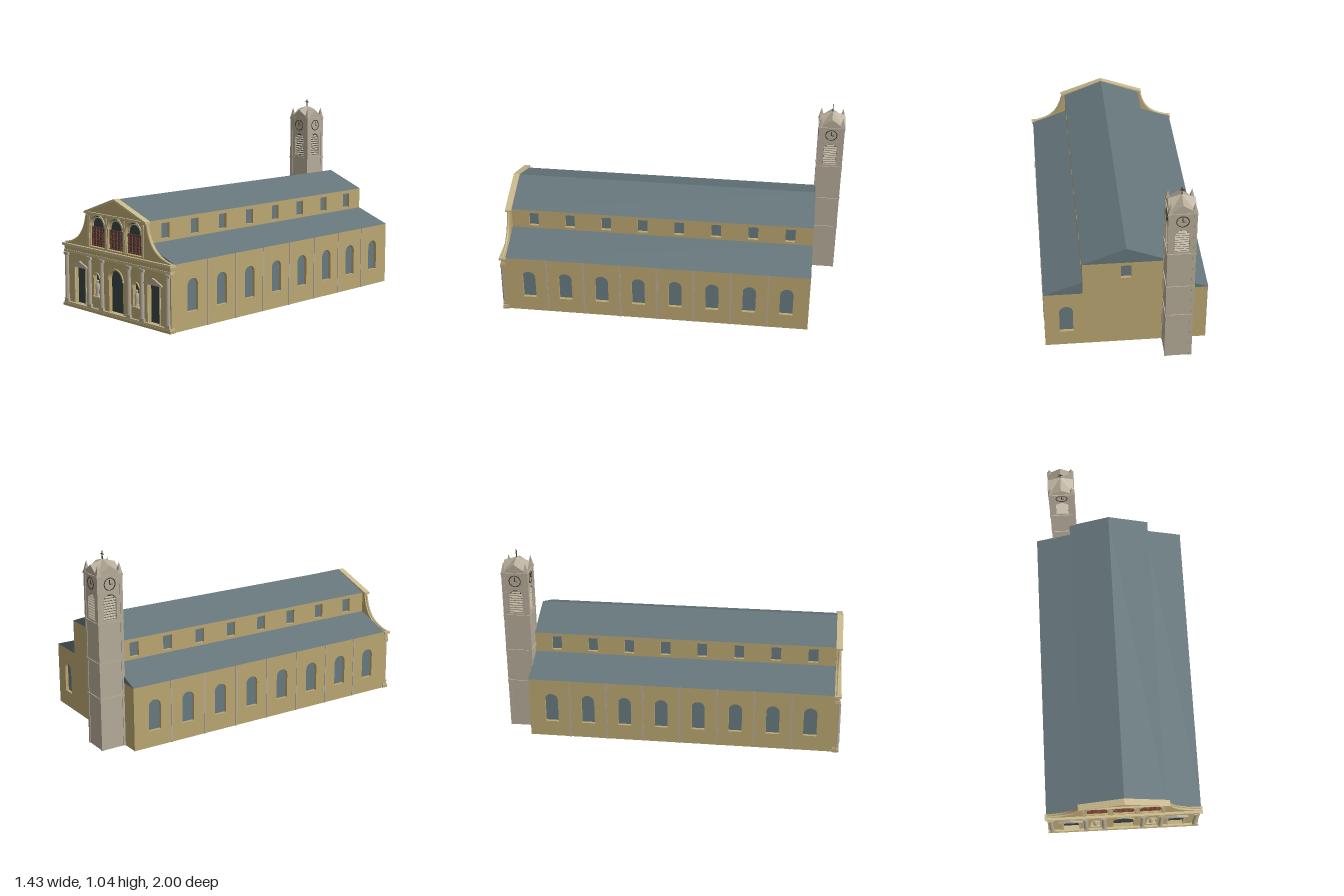
import * as THREE from 'three';

const mat = (name, color, side = THREE.FrontSide) => {
  const m = new THREE.MeshStandardMaterial({ color, side });
  m.name = name;
  return m;
};
const WALL = mat('ochre wall', 0xbba772);
const TRIM = mat('pale trim', 0xc8b88c);
const STONE = mat('grey stone', 0xb5ab98, THREE.DoubleSide);
const ROOF = mat('slate roof', 0x64757a);
const GLASS = mat('window glass', 0x687a80);
const DARK = mat('dark opening', 0x364444);
const RED = mat('red lattice', 0x7a4436);
const IRON = mat('dark iron', 0x3c3a36);

const HW = 0.429, HL = 0.836, NAVE = 0.226, EAVE = 0.345, NAVE_EAVE = 0.535, RIDGE = 0.625;

function add(parent, name, geo, material, x = 0, y = 0, z = 0) {
  const m = new THREE.Mesh(geo, material);
  m.name = name;
  m.position.set(x, y, z);
  parent.add(m);
  return m;
}
const box = (p, name, w, h, d, material, x, y, z) =>
  add(p, name, new THREE.BoxGeometry(w, h, d), material, x, y, z);

function sub(parent, name, x = 0, y = 0, z = 0, ry = 0) {
  const g = new THREE.Group();
  g.name = name;
  g.position.set(x, y, z);
  g.rotation.y = ry;
  parent.add(g);
  return g;
}
const poly = pts => new THREE.Shape(pts.map(p => new THREE.Vector2(...p)));
const rect = (x0, y0, x1, y1) => poly([[x0, y0], [x1, y0], [x1, y1], [x0, y1]]);

// Opening outline with a round head
function arch(cx, w, y0, y1) {
  const r = w / 2, s = new THREE.Shape();
  s.moveTo(cx - r, y0);
  s.lineTo(cx + r, y0);
  s.lineTo(cx + r, y1 - r);
  s.absarc(cx, y1 - r, r, 0, Math.PI, false);
  s.closePath();
  return s;
}
const extrude = (shape, depth) =>
  new THREE.ExtrudeGeometry(shape, { depth, bevelEnabled: false, curveSegments: 10 });

// Wall with its outer face on z = 0, holes cut through and panes set behind
function wall(parent, name, outline, openings, depth, material, pane) {
  outline.holes.push(...openings);
  add(parent, name, extrude(outline, depth), material, 0, 0, -depth);
  openings.forEach(o =>
    add(parent, name + 'Pane', new THREE.ShapeGeometry(o, 10), pane, 0, 0, -depth + 0.001));
}

function archRing(parent, cx, cy, r0, r1, z) {
  const s = new THREE.Shape();
  s.absarc(cx, cy, r1, 0, Math.PI, false);
  s.absarc(cx, cy, r0, Math.PI, 0, true);
  add(parent, 'archMoulding', extrude(s, 0.006), TRIM, 0, 0, z);
}

function buildBody(root) {
  const body = sub(root, 'body');
  const bays = Array.from({ length: 8 }, (_, i) => (i - 3.5) * 0.2036);
  box(body, 'floor', 2 * HW, 0.006, 2 * HL, WALL, 0, 0.003, 0);
  for (const s of [-1, 1]) {
    // Aisle wall with arched windows and thin pilaster strips
    const aisle = sub(body, 'aisle', s * HW, 0, 0, s * Math.PI / 2);
    wall(aisle, 'aisleWall', rect(-HL, 0, HL, EAVE),
      bays.map(x => arch(x, 0.072, 0.09, 0.26)), 0.018, WALL, GLASS);
    for (let i = 0; i < 7; i++)
      box(aisle, 'pilasterStrip', 0.009, EAVE, 0.004, STONE, (i - 3) * 0.2036, EAVE / 2, 0.001);
    // Clerestory wall
    const upper = sub(body, 'clerestory', s * NAVE, 0, 0, s * Math.PI / 2);
    wall(upper, 'clerestoryWall', rect(-HL, EAVE, HL, NAVE_EAVE),
      bays.map(x => rect(x - 0.027, 0.435, x + 0.027, 0.515)), 0.018, WALL, GLASS);
    // Lean-to roof
    const lean = [[s * (HW + 0.002), EAVE], [s * NAVE, 0.42], [s * NAVE, EAVE]];
    add(body, 'aisleRoof', extrude(poly(lean), 2 * HL), ROOF, 0, 0, -HL);
  }
  add(body, 'naveRoof', extrude(
    poly([[-NAVE - 0.003, NAVE_EAVE], [NAVE + 0.003, NAVE_EAVE], [0, RIDGE]]), 2 * HL),
    ROOF, 0, 0, -HL);
  // Rear wall
  const back = sub(body, 'rear', 0, 0, -HL, Math.PI);
  wall(back, 'rearWall', poly([[-HW, 0], [HW, 0], [HW, EAVE], [NAVE, EAVE], [NAVE, NAVE_EAVE],
    [-NAVE, NAVE_EAVE], [-NAVE, EAVE], [-HW, EAVE]]),
    [arch(-0.315, 0.072, 0.09, 0.26), rect(-0.027, 0.435, 0.027, 0.515)], 0.018, WALL, GLASS);
}

function buildColumn(f, x) {
  const c = sub(f, 'column', x, 0, 0.004);
  box(c, 'columnBase', 0.034, 0.016, 0.018, STONE, 0, 0.033, 0);
  add(c, 'columnShaft', new THREE.CylinderGeometry(0.011, 0.013, 0.24, 12), STONE, 0, 0.161, 0);
  box(c, 'columnCapital', 0.034, 0.016, 0.018, STONE, 0, 0.288, 0);
}

function buildStatue(f, x) {
  const s = sub(f, 'statue', x, 0.092, -0.006);
  const p = [[0.012, 0], [0.012, 0.012], [0.009, 0.014], [0.011, 0.04], [0.012, 0.062], [0.004, 0.072]];
  add(s, 'statueBody', new THREE.LatheGeometry(p.map(a => new THREE.Vector2(...a)), 10), STONE);
  add(s, 'statueHead', new THREE.SphereGeometry(0.008, 10, 8), STONE, 0, 0.079, 0);
}

// Round-headed upper window with lattice in its lower half
function buildLattice(f, x) {
  const g = sub(f, 'latticeWindow', x, 0, -0.012);
  for (let i = 0; i < 5; i++)
    box(g, 'latticeUpright', 0.006, 0.102, 0.006, RED, (i - 2) * 0.027, 0.409, 0);
  for (let j = 0; j < 3; j++)
    box(g, 'latticeRail', 0.116, 0.006, 0.006, RED, 0, 0.361 + j * 0.048, 0);
  for (let i = 0; i < 4; i++) for (let j = 0; j < 2; j++)
    add(g, 'latticeRosette', new THREE.TorusGeometry(0.009, 0.0022, 4, 10), RED,
      (i - 1.5) * 0.027, 0.385 + j * 0.048, 0);
  archRing(g, 0, 0.466, 0.045, 0.05, 0);
  archRing(f, x, 0.466, 0.059, 0.067, -0.001);
}

function buildFacade(root) {
  const f = sub(root, 'facade', 0, 0, 0.858);
  const o = new THREE.Shape();
  o.moveTo(-HW, 0);
  o.lineTo(HW, 0);
  o.lineTo(HW, EAVE);
  o.bezierCurveTo(0.30, 0.365, 0.262, 0.43, 0.241, 0.53);
  o.lineTo(0, RIDGE - 0.003);
  o.lineTo(-0.241, 0.53);
  o.bezierCurveTo(-0.262, 0.43, -0.30, 0.365, -HW, EAVE);
  o.closePath();
  const doors = [-0.299, 0.299].map(x => rect(x - 0.044, 0.025, x + 0.044, 0.225));
  const uppers = [-0.147, 0, 0.147];
  wall(f, 'facadeWall', o, [...doors, arch(0, 0.114, 0.025, 0.255),
    arch(-0.16, 0.05, 0.09, 0.215), arch(0.16, 0.05, 0.09, 0.215),
    ...uppers.map(x => arch(x, 0.118, 0.354, 0.525))], 0.022, WALL, DARK);
  // Plinth and main cornice
  box(f, 'plinth', 0.872, 0.014, 0.036, WALL, 0, 0.007, -0.004);
  box(f, 'plinthStep', 0.866, 0.012, 0.032, TRIM, 0, 0.019, -0.004);
  box(f, 'architrave', 0.862, 0.014, 0.028, TRIM, 0, 0.304, -0.006);
  box(f, 'frieze', 0.858, 0.022, 0.024, WALL, 0, 0.322, -0.008);
  box(f, 'cornice', 0.878, 0.013, 0.038, TRIM, 0, 0.339, -0.005);
  for (const x of [0.41, 0.214, 0.11]) for (const s of [-1, 1]) buildColumn(f, s * x);
  uppers.forEach(x => buildLattice(f, x));
  archRing(f, 0, 0.198, 0.057, 0.065, -0.001);
  for (const s of [-1, 1]) {
    const x = s * 0.299;
    // Side door frame and pediment
    for (const e of [-1, 1])
      box(f, 'doorJamb', 0.008, 0.2, 0.006, TRIM, x + e * 0.048, 0.125, 0.001);
    add(f, 'doorPediment', extrude(poly([[-0.068, 0.226], [0.068, 0.226], [0.068, 0.233],
      [0, 0.262], [-0.068, 0.233]]), 0.012), STONE, x, 0, -0.001);
    archRing(f, s * 0.16, 0.19, 0.025, 0.03, -0.001);
    box(f, 'nicheSill', 0.058, 0.007, 0.012, TRIM, s * 0.16, 0.087, 0.002);
    buildStatue(f, s * 0.16);
    // Upper pilasters, scroll edge and raking cornice
    for (const px of [0.0735, 0.22])
      box(f, 'upperPilaster', 0.016, 0.17, 0.006, TRIM, s * px, 0.435, 0.001);
    const curve = new THREE.CubicBezierCurve3(new THREE.Vector3(s * HW, 0.347, -0.006),
      new THREE.Vector3(s * 0.30, 0.367, -0.006), new THREE.Vector3(s * 0.262, 0.43, -0.006),
      new THREE.Vector3(s * 0.241, 0.53, -0.006));
    add(f, 'scrollEdge', new THREE.TubeGeometry(curve, 16, 0.007, 6), TRIM);
    add(f, 'rakingCornice', extrude(poly([[s * 0.25, 0.528], [s * 0.25, 0.538], [0, 0.628],
      [0, 0.615]]), 0.034), TRIM, 0, 0, -0.024);
  }
  box(f, 'upperCornice', 0.5, 0.009, 0.03, TRIM, 0, 0.534, -0.006);
}

function buildTower(root) {
  const t = sub(root, 'bellTower', -0.262, 0, -0.903);
  const h = 0.069, base = 0.68, top = 0.93, gable = 0.978;
  box(t, 'towerShaft', 2 * h, base, 2 * h, STONE, 0, base / 2, 0);
  box(t, 'belfryCore', 0.106, 0.235, 0.106, DARK, 0, 0.797, 0);
  for (const y of [0.28, 0.47, 0.68, 0.925])
    for (let k = 0; k < 4; k++) {
      const g = sub(t, 'stringCourse', 0, 0, 0, k * Math.PI / 2);
      box(g, 'band', 0.148, 0.01, 0.008, STONE, 0, y, h + 0.001);
    }
  for (let k = 0; k < 4; k++) {
    const g = sub(t, 'towerSide', 0, 0, 0, k * Math.PI / 2);
    const face = sub(g, 'belfryFace', 0, 0, h);
    wall(face, 'belfryWall', poly([[-h, base], [h, base], [h, top], [0, gable], [-h, top]]),
      [arch(0, 0.072, 0.695, 0.83)], 0.015, STONE, DARK);
    for (let i = 0; i < 9; i++) {
      const slat = box(face, 'louvre', i > 7 ? 0.046 : 0.07, 0.005, 0.012, STONE,
        0, 0.703 + i * 0.0138, -0.008);
      slat.rotation.x = 0.5;
    }
    // Clock
    add(face, 'clockRim', new THREE.TorusGeometry(0.031, 0.0025, 5, 24), IRON, 0, 0.883, 0.001);
    box(face, 'minuteHand', 0.004, 0.024, 0.003, IRON, 0, 0.894, 0.002);
    box(face, 'hourHand', 0.016, 0.004, 0.003, RED, 0.007, 0.882, 0.002);
    // Corner strip and pinnacle
    box(g, 'cornerStrip', 0.016, top, 0.016, STONE, h - 0.005, top / 2, h - 0.005);
    const p = add(g, 'pinnacle', new THREE.ConeGeometry(0.018, 0.058, 4).toNonIndexed(),
      STONE, h - 0.009, 0.959, h - 0.009);
    p.geometry.computeVertexNormals();
    p.rotation.y = Math.PI / 4;
    // Two roof slopes behind each gable
    const geo = new THREE.BufferGeometry();
    geo.setAttribute('position', new THREE.Float32BufferAttribute([
      -h, top, h, 0, gable, h, 0, 1.0, 0,
      0, gable, h, h, top, h, 0, 1.0, 0], 3));
    geo.computeVertexNormals();
    add(g, 'towerRoof', geo, STONE);
  }
  box(t, 'crossPost', 0.004, 0.045, 0.004, IRON, 0, 1.017, 0);
  box(t, 'crossArm', 0.026, 0.004, 0.004, IRON, 0, 1.024, 0);
}

export function createModel() {
  const model = new THREE.Group();
  model.name = 'church';
  const root = sub(model, 'turnedChurch', 0.01, 0, 0.025, -21.1 * Math.PI / 180);
  buildBody(root);
  buildFacade(root);
  buildTower(root);
  return model;
}
